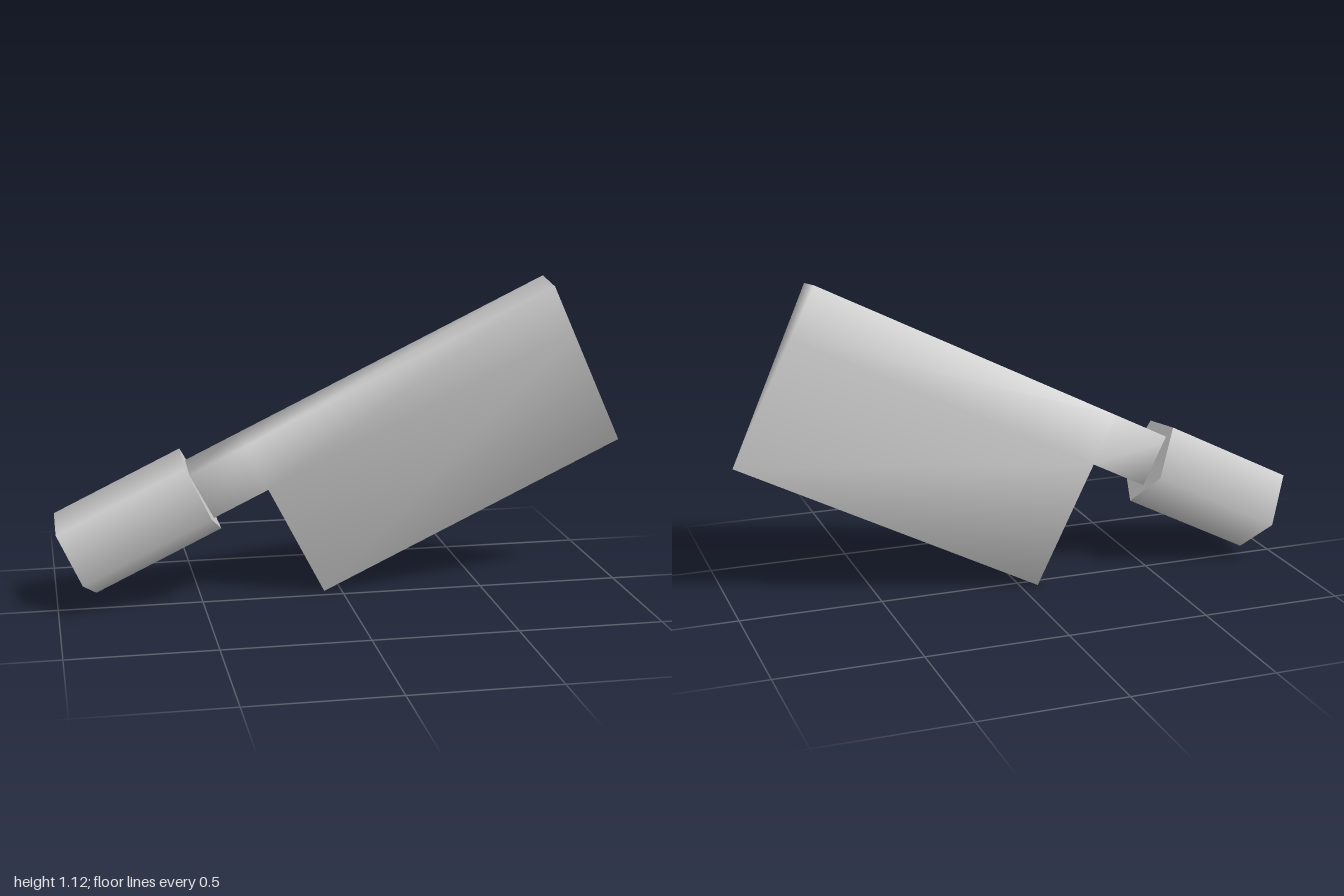
import * as THREE from 'three';

export function createModel() {
  const steel = new THREE.MeshStandardMaterial({ color: 0xcccccc });
  steel.name = 'grey steel';

  // Local frame: x along the spine, y from cutting edge to spine, z across
  const cleaver = new THREE.Group();
  cleaver.name = 'cleaver';

  // Five-sided handle with a flat side up
  const handleGeo = new THREE.CylinderGeometry(0.165, 0.165, 0.488, 5, 1, false, Math.PI / 2);
  handleGeo.rotateZ(-Math.PI / 2).translate(-0.244, 0, 0);
  const handle = new THREE.Mesh(handleGeo, steel);
  handle.name = 'handle';
  cleaver.add(handle);

  // Wedge blade with a narrower neck; shared corners give smooth normals
  const neck = -0.03, heel = 0.21, tip = 1.39;
  const top = 0.095, mid = -0.095, edge = -0.567;
  const halfWidth = (y) => 0.072 * (y - edge) / (top - edge);
  const positions = [], index = [];
  const vert = (x, y, z) => positions.push(x, y, z) / 3 - 1;
  const pair = (x, y) => [vert(x, y, halfWidth(y)), vert(x, y, -halfWidth(y))];
  const tops = [neck, heel, tip].map((x) => pair(x, top));
  const mids = [neck, heel, tip].map((x) => pair(x, mid));
  const heelEdge = vert(heel, edge, 0), tipEdge = vert(tip, edge, 0);
  const quad = (a, b, c, d) => index.push(a, b, c, a, c, d);

  for (let i = 0; i < 2; i++) {
    const [t0, t1, m0, m1] = [tops[i], tops[i + 1], mids[i], mids[i + 1]];
    quad(m0[0], m1[0], t1[0], t0[0]); // front side
    quad(m1[1], m0[1], t0[1], t1[1]); // back side
    quad(t0[0], t1[0], t1[1], t0[1]); // spine
  }
  quad(heelEdge, tipEdge, mids[2][0], mids[1][0]); // lower front
  quad(tipEdge, heelEdge, mids[1][1], mids[2][1]); // lower back
  quad(mids[0][1], mids[1][1], mids[1][0], mids[0][0]); // under the neck
  quad(mids[0][1], mids[0][0], tops[0][0], tops[0][1]); // neck end
  index.push(heelEdge, mids[1][0], mids[1][1]); // heel
  quad(mids[2][0], mids[2][1], tops[2][1], tops[2][0]); // upper tip
  index.push(tipEdge, mids[2][1], mids[2][0]); // lower tip

  const bladeGeo = new THREE.BufferGeometry();
  bladeGeo.setAttribute('position', new THREE.Float32BufferAttribute(positions, 3));
  bladeGeo.setIndex(index);
  bladeGeo.computeVertexNormals();
  const blade = new THREE.Mesh(bladeGeo, steel);
  blade.name = 'blade';
  cleaver.add(blade);

  // Lean the whole tool into its resting pose
  const along = new THREE.Vector3(0.893, 0.447, 0.062).normalize();
  const across = new THREE.Vector3().crossVectors(along, new THREE.Vector3(-0.443, 0.887, 0.122)).normalize();
  const up = new THREE.Vector3().crossVectors(across, along);
  cleaver.quaternion.setFromRotationMatrix(new THREE.Matrix4().makeBasis(along, up, across));
  cleaver.position.set(-0.505, 0.425, 0.013);

  const model = new THREE.Group();
  model.name = 'model';
  model.add(cleaver);
  return model;
}
